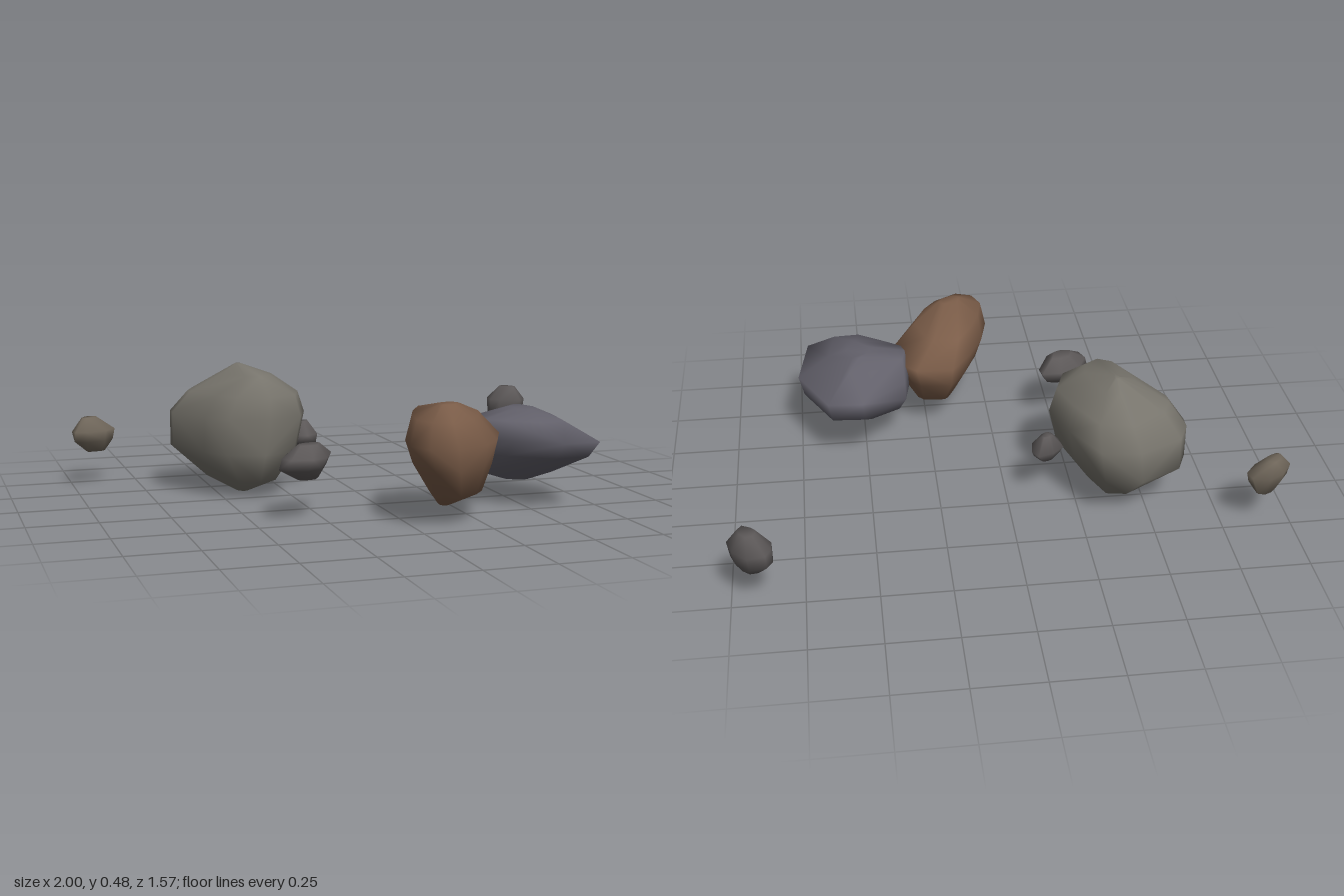
import * as THREE from 'three';
import { mergeVertices } from 'three/addons/utils/BufferGeometryUtils.js';
import { ConvexGeometry } from 'three/addons/geometries/ConvexGeometry.js';

// A boulder: one plan outline (x, z), fitted at each level to [y, xMin, xMax, zMin, zMax],
// wrapped in a convex skin with smooth normals.
function rock(name, color, outline, levels) {
  const xs = outline.map((p) => p[0]);
  const zs = outline.map((p) => p[1]);
  const x0 = Math.min(...xs), z0 = Math.min(...zs);
  const w = Math.max(...xs) - x0, d = Math.max(...zs) - z0;
  const points = [];
  for (const [y, xa, xb, za, zb] of levels) {
    for (const [x, z] of outline) {
      points.push(new THREE.Vector3(
        xa + ((x - x0) / w) * (xb - xa),
        y,
        za + ((z - z0) / d) * (zb - za)
      ));
    }
  }
  let geometry = new ConvexGeometry(points);
  geometry.deleteAttribute('normal');
  geometry = mergeVertices(geometry, 1e-4);
  geometry.computeVertexNormals();
  const mesh = new THREE.Mesh(geometry, new THREE.MeshStandardMaterial({ color }));
  mesh.name = name;
  return mesh;
}

export function createModel() {
  const group = new THREE.Group();
  group.name = 'rocks';

  // Three large boulders
  group.add(rock('largeGreyBoulder', 0x77746c,
    [[-0.61, -0.36], [-0.45, -0.44], [-0.31, -0.42], [-0.22, -0.25], [-0.17, -0.1],
      [-0.22, 0.03], [-0.35, 0.09], [-0.49, 0.04], [-0.56, -0.06], [-0.65, -0.22], [-0.65, -0.27]],
    [[0.0, -0.42, -0.38, -0.17, -0.13], [0.06, -0.53, -0.28, -0.33, 0.03],
      [0.17, -0.65, -0.2, -0.43, 0.09], [0.3, -0.65, -0.17, -0.44, 0.09],
      [0.38, -0.59, -0.2, -0.37, 0.08], [0.45, -0.47, -0.3, -0.27, 0.0],
      [0.48, -0.41, -0.39, -0.21, -0.18]]));

  group.add(rock('brownBoulder', 0x7a5c48,
    [[0.15, 0.28], [0.29, 0.29], [0.33, 0.33], [0.38, 0.48], [0.31, 0.63], [0.24, 0.71],
      [0.11, 0.78], [0.02, 0.75], [-0.02, 0.66], [0.01, 0.53], [0.07, 0.4]],
    [[0.05, 0.13, 0.19, 0.47, 0.57], [0.1, 0.08, 0.31, 0.37, 0.69],
      [0.2, 0.01, 0.35, 0.3, 0.77], [0.28, -0.02, 0.38, 0.28, 0.78],
      [0.37, 0.0, 0.28, 0.36, 0.77], [0.415, 0.09, 0.17, 0.59, 0.66]]));

  group.add(rock('slateBoulder', 0x62606a,
    [[0.51, 0.09], [0.64, 0.1], [0.75, 0.34], [0.71, 0.61], [0.57, 0.62],
      [0.42, 0.5], [0.34, 0.43], [0.32, 0.36], [0.34, 0.24]],
    [[0.09, 0.45, 0.53, 0.33, 0.41], [0.12, 0.35, 0.63, 0.22, 0.45],
      [0.19, 0.32, 0.73, 0.1, 0.57], [0.25, 0.32, 0.75, 0.11, 0.62],
      [0.32, 0.33, 0.63, 0.23, 0.55], [0.35, 0.47, 0.56, 0.3, 0.44]]));

  // Four scattered pebbles
  group.add(rock('tanPebble', 0x6f665a,
    [[-1, -0.43], [-0.96, -0.49], [-0.9, -0.53], [-0.84, -0.51], [-0.83, -0.47],
      [-0.87, -0.42], [-0.95, -0.39], [-0.99, -0.4]],
    [[0.125, -0.94, -0.87, -0.49, -0.45], [0.17, -0.99, -0.84, -0.51, -0.4],
      [0.21, -1, -0.83, -0.53, -0.39], [0.26, -0.96, -0.9, -0.49, -0.43]]));

  group.add(rock('backPebble', 0x5c5858,
    [[0.85, -0.74], [0.87, -0.78], [0.93, -0.79], [0.98, -0.74], [1, -0.68],
      [0.96, -0.63], [0.88, -0.67], [0.85, -0.7]],
    [[0.125, 0.89, 0.96, -0.74, -0.68], [0.16, 0.85, 0.99, -0.77, -0.64],
      [0.22, 0.85, 1, -0.79, -0.63], [0.275, 0.9, 0.96, -0.74, -0.67]]));

  group.add(rock('frontPebble', 0x5c5858,
    [[-0.41, 0.43], [-0.37, 0.35], [-0.29, 0.31], [-0.21, 0.31], [-0.2, 0.35],
      [-0.25, 0.46], [-0.31, 0.49], [-0.39, 0.48]],
    [[0.14, -0.34, -0.26, 0.38, 0.43], [0.18, -0.41, -0.22, 0.32, 0.48],
      [0.22, -0.4, -0.2, 0.31, 0.49], [0.26, -0.34, -0.25, 0.36, 0.43]]));

  group.add(rock('sidePebble', 0x5c5858,
    [[-0.21, -0.2], [-0.17, -0.24], [-0.11, -0.26], [-0.09, -0.22], [-0.1, -0.16],
      [-0.15, -0.12], [-0.2, -0.14]],
    [[0.14, -0.17, -0.13, -0.2, -0.17], [0.17, -0.2, -0.1, -0.23, -0.12],
      [0.2, -0.21, -0.09, -0.26, -0.12], [0.25, -0.17, -0.13, -0.21, -0.17]]));

  return group;
}
